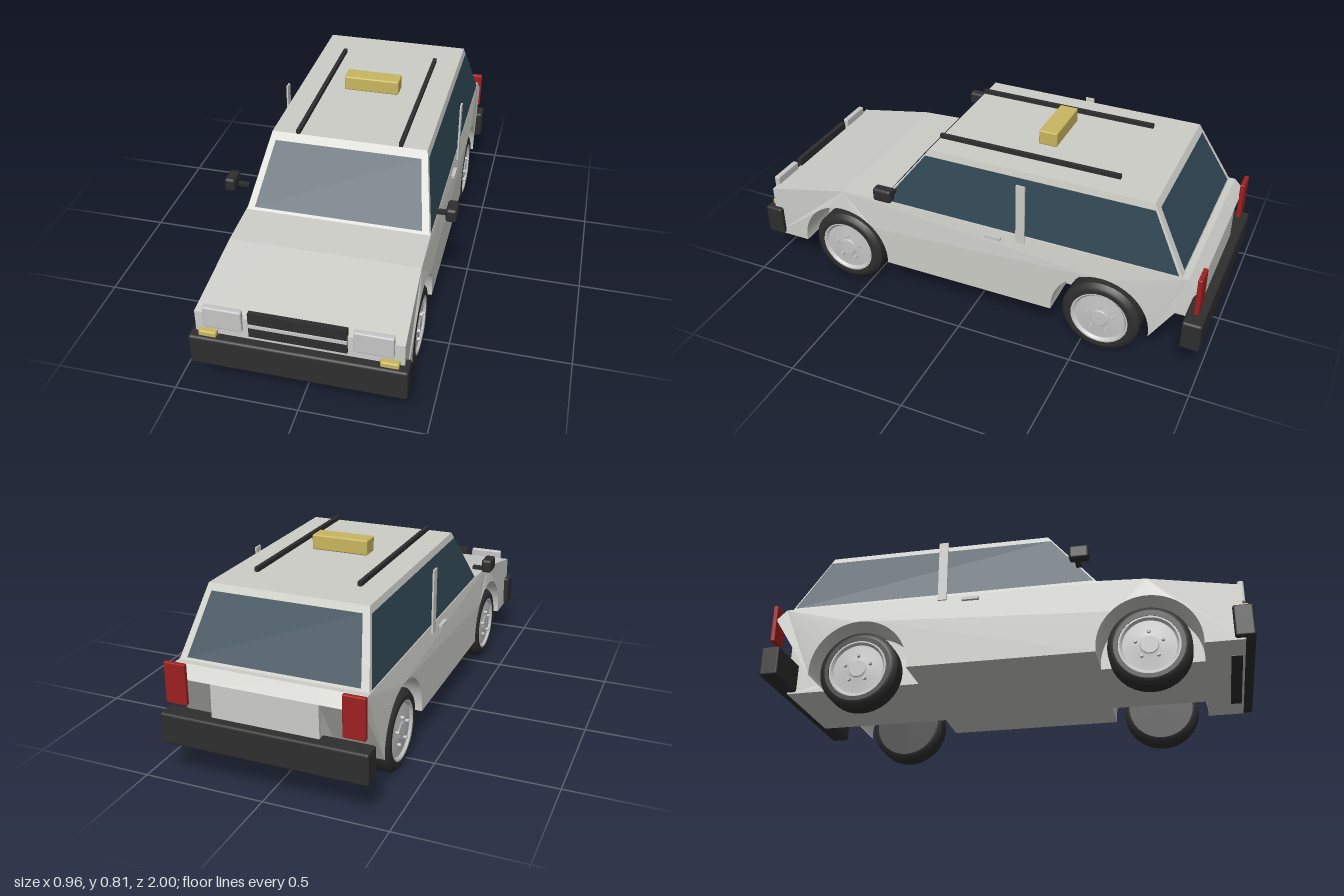
import * as THREE from 'three';
import { RoundedBoxGeometry } from 'three/addons/geometries/RoundedBoxGeometry.js';

const mat = (name, color, extra = {}) => {
  const m = new THREE.MeshStandardMaterial({ color, ...extra });
  m.name = name;
  return m;
};

export function createModel() {
  const paint = mat('body paint', 0xcdcdc8);
  const glass = mat('glass', 0x2f4653, { side: THREE.DoubleSide });
  const black = mat('black trim', 0x2e2e2e);
  const red = mat('red lamp', 0x9e2020);
  const amber = mat('amber', 0xc9b75f);
  const silver = mat('silver', 0xc6c6c6);

  const car = new THREE.Group();
  car.name = 'stationWagon';

  const add = (name, geo, material, x = 0, y = 0, z = 0, parent = car) => {
    const m = new THREE.Mesh(geo, material);
    m.name = name;
    m.position.set(x, y, z);
    parent.add(m);
    return m;
  };
  // Box given by its minimum and maximum on each axis, optionally rounded
  const box = (name, material, [x0, x1], [y0, y1], [z0, z1], r = 0) => {
    const s = [x1 - x0, y1 - y0, z1 - z0];
    const geo = r ? new RoundedBoxGeometry(...s, 2, r) : new THREE.BoxGeometry(...s);
    return add(name, geo, material, (x0 + x1) / 2, (y0 + y1) / 2, (z0 + z1) / 2);
  };
  // The same box on the left and the right
  const pair = (name, material, [x0, x1], y, z, r) => {
    box(name + 'Left', material, [x0, x1], y, z, r);
    box(name + 'Right', material, [-x1, -x0], y, z, r);
  };

  // Lower body: a core slab and two side slabs with wheel arches
  const sill = 0.15, wheelY = 0.165, archR = 0.208, axles = [-0.582, 0.598];
  const bodyShape = (arches) => {
    const s = new THREE.Shape();
    s.moveTo(-0.96, sill);
    if (arches) {
      const a = Math.asin((sill - wheelY) / archR);
      for (const z of axles) s.absarc(z, wheelY, archR, Math.PI - a, a, true);
    }
    for (const p of [[0.96, sill], [0.96, 0.383], [0.6, 0.455], [0.4, 0.466], [-0.92, 0.466], [-0.96, 0.42]]) s.lineTo(...p);
    s.closePath();
    return s;
  };
  const bodySlab = (name, x0, x1, arches) => {
    const geo = new THREE.ExtrudeGeometry(bodyShape(arches), { depth: x1 - x0, bevelEnabled: false, curveSegments: 24 });
    geo.rotateY(-Math.PI / 2).translate(x1, 0, 0);
    // Flanks lean inwards above the bonnet edge
    const p = geo.attributes.position;
    for (let i = 0; i < p.count; i++) {
      const lean = 1 - 0.45 * Math.max(0, p.getY(i) - 0.383);
      p.setX(i, p.getX(i) * lean);
    }
    geo.computeVertexNormals();
    add(name, geo, paint);
  };
  bodySlab('bodyCore', -0.22, 0.22, false);
  bodySlab('bodySideLeft', 0.22, 0.4, true);
  bodySlab('bodySideRight', -0.4, -0.22, true);

  // Cabin: corners listed counter-clockwise for each face
  const V = (x, y, z) => new THREE.Vector3(x, y, z);
  const yB = 0.465, yT = 0.73, wB = 0.382, wT = 0.325;
  const cb = (sx, front) => V(sx * wB, yB, front ? 0.405 : -0.895);
  const ct = (sx, front) => V(sx * wT, yT, front ? 0.2 : -0.75);
  const faces = {
    front: [cb(-1, 1), cb(1, 1), ct(1, 1), ct(-1, 1)],
    rear: [cb(1, 0), cb(-1, 0), ct(-1, 0), ct(1, 0)],
    left: [cb(1, 1), cb(1, 0), ct(1, 0), ct(1, 1)],
    right: [cb(-1, 0), cb(-1, 1), ct(-1, 1), ct(-1, 0)],
    roof: [ct(-1, 1), ct(1, 1), ct(1, 0), ct(-1, 0)],
  };
  const quads = (list) => {
    const pts = list.flatMap(([a, b, c, d]) => [a, b, c, a, c, d]);
    const geo = new THREE.BufferGeometry().setFromPoints(pts);
    geo.computeVertexNormals();
    return geo;
  };
  add('cabin', quads(Object.values(faces)), paint);

  // Windows: inset panes lying just outside the cabin faces
  const pane = (name, [a, b, c, d], u, v0, v1) => {
    const n = b.clone().sub(a).cross(d.clone().sub(a)).normalize().multiplyScalar(0.004);
    const at = (s, t) => a.clone().lerp(b, s).lerp(d.clone().lerp(c, s), t).add(n);
    add(name, quads([[at(u, v0), at(1 - u, v0), at(1 - u, v1), at(u, v1)]]), glass);
  };
  pane('windscreen', faces.front, 0.04, 0.04, 0.89);
  pane('rearWindow', faces.rear, 0.04, 0.04, 0.9);
  pane('sideWindowLeft', faces.left, 0.008, 0.02, 0.9);
  pane('sideWindowRight', faces.right, 0.008, 0.02, 0.9);
  pair('doorPillar', paint, [0.391, 0.398], [0.44, 0.71], [-0.253, -0.215]);
  pair('doorHandle', silver, [0.385, 0.405], [0.428, 0.44], [-0.15, -0.08]);

  // Roof rails and roof lamp
  pair('roofRail', black, [0.207, 0.223], [0.728, 0.748], [-0.58, 0.2]);
  box('roofLamp', amber, [-0.12, 0.12], [0.742, 0.805], [-0.275, -0.196], 0.006);

  // Bumpers and chin plate
  box('frontBumper', black, [-0.42, 0.42], [0.157, 0.29], [0.92, 1], 0.01);
  box('rearBumper', black, [-0.42, 0.42], [0.157, 0.285], [-1, -0.92], 0.01);
  box('chinPlate', black, [-0.26, 0.26], [0.146, 0.152], [0.905, 0.95]);

  // Front grille and lamps
  box('grille', black, [-0.188, 0.188], [0.31, 0.42], [0.95, 0.97]);
  box('grilleBar', silver, [-0.188, 0.188], [0.357, 0.371], [0.96, 0.975]);
  pair('headlamp', silver, [0.212, 0.362], [0.327, 0.42], [0.95, 0.975], 0.006);
  pair('indicator', amber, [0.313, 0.383], [0.275, 0.311], [0.95, 0.985], 0.006);

  // Tail lamps
  pair('tailLamp', red, [0.312, 0.4], [0.32, 0.486], [-0.976, -0.957], 0.004);

  // Wing mirrors
  pair('mirrorArm', black, [0.392, 0.445], [0.531, 0.546], [0.325, 0.345]);
  pair('mirror', black, [0.436, 0.481], [0.527, 0.586], [0.305, 0.387], 0.012);

  // Wheels: lathe profiles as [radius, distance outwards]
  const lathe = (pts) => new THREE.LatheGeometry(pts.map((p) => new THREE.Vector2(...p)), 40).rotateZ(-Math.PI / 2);
  // Doubled points keep the profile edges crisp
  const tyreGeo = lathe([[0.001, -0.052], [0.14, -0.052], [0.14, -0.052], [0.152, -0.048], [0.165, -0.034], [0.165, -0.034],
    [0.165, 0.034], [0.165, 0.034], [0.152, 0.048], [0.14, 0.052], [0.14, 0.052], [0.122, 0.052], [0.122, 0.052], [0.122, 0.02]]);
  const rimGeo = lathe([[0.123, 0.05], [0.115, 0.05], [0.115, 0.05], [0.106, 0.04], [0.106, 0.04],
    [0.04, 0.044], [0.035, 0.05], [0.035, 0.05], [0.001, 0.05]].reverse());
  rimGeo.index.array.reverse();
  const boltGeo = new THREE.CylinderGeometry(0.007, 0.007, 0.022, 8).rotateZ(Math.PI / 2);
  const silverBoth = mat('rim silver', 0xc6c6c6, { side: THREE.DoubleSide });
  rimGeo.computeVertexNormals();
  // Rim normals must face outwards
  if (rimGeo.attributes.normal.getX(0) < 0) {
    rimGeo.index.array.reverse();
    rimGeo.computeVertexNormals();
  }
  for (const side of [1, -1]) {
    for (const z of axles) {
      const wheel = new THREE.Group();
      wheel.name = (z > 0 ? 'front' : 'rear') + 'Wheel' + (side > 0 ? 'Left' : 'Right');
      wheel.position.set(side * 0.343, wheelY, z);
      if (side < 0) wheel.rotation.y = Math.PI;
      add('tyre', tyreGeo, black, 0, 0, 0, wheel);
      add('rim', rimGeo, silverBoth, 0, 0, 0, wheel);
      for (let i = 0; i < 5; i++) {
        const a = Math.PI / 2 + (i * 2 * Math.PI) / 5;
        add('wheelBolt', boltGeo, silver, 0.046, Math.sin(a) * 0.056, Math.cos(a) * 0.056, wheel);
      }
      car.add(wheel);
    }
  }
  return car;
}
